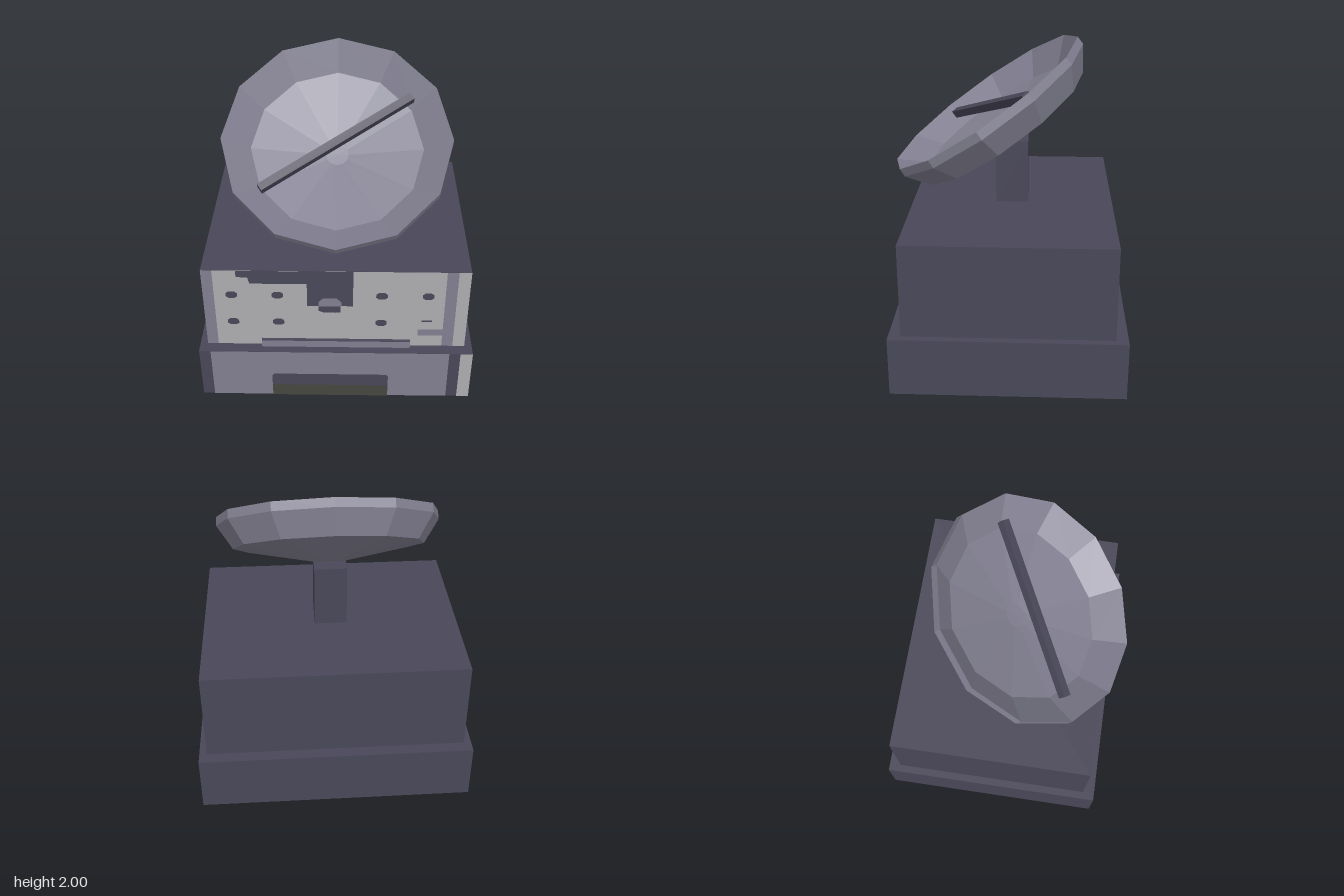
import * as THREE from 'three';

const material = (name, color) => new THREE.MeshStandardMaterial({ name, color, flatShading: true });

export function createModel() {
  const slate = material('slate', 0x494758);
  const lilac = material('lilac grey', 0x817f90);
  const grey = material('pale grey', 0xadacaf);
  const olive = material('dark olive', 0x474641);

  const model = new THREE.Group();
  model.name = 'dishStation';

  function add(name, geometry, mat, parent = model) {
    const mesh = new THREE.Mesh(geometry, mat);
    mesh.name = name;
    parent.add(mesh);
    return mesh;
  }

  // Box given by its limits on each axis
  function box(name, [x0, x1], [y0, y1], [z0, z1], mat) {
    const mesh = add(name, new THREE.BoxGeometry(x1 - x0, y1 - y0, z1 - z0), mat);
    mesh.position.set((x0 + x1) / 2, (y0 + y1) / 2, (z0 + z1) / 2);
    return mesh;
  }

  // Flat painted face on a front wall
  function paint(name, points, z, mat) {
    const shape = new THREE.Shape(points.map(([x, y]) => new THREE.Vector2(x, y)));
    add(name, new THREE.ShapeGeometry(shape), mat).position.z = z;
  }
  const rect = (x0, x1, y0, y1) => [[x0, y0], [x1, y0], [x1, y1], [x0, y1]];
  const chamfered = (x0, x1, y0, y1, cx, cy) => [
    [x0 + cx, y0], [x1 - cx, y0], [x1, y0 + cy], [x1, y1 - cy],
    [x1 - cx, y1], [x0 + cx, y1], [x0, y1 - cy], [x0, y0 + cy],
  ];

  // Stacked housing and post
  const baseFront = 0.692, bodyFront = 0.617;
  box('base', [-0.857, 0.857], [0, 0.37], [-0.73, baseFront], slate);
  box('body', [-0.81, 0.81], [0.37, 0.957], [-0.655, bodyFront], slate);
  box('ledge', [-0.465, 0.465], [0.37, 0.42], [bodyFront, 0.641], slate);
  box('post', [-0.102, 0.102], [0.957, 1.36], [-0.117, 0.085], slate);

  // Base front
  const b = baseFront + 0.002;
  paint('baseFrontPanel', rect(-0.785, 0.71, 0, 0.37), b, lilac);
  paint('baseFrontEdge', rect(0.78, 0.857, 0, 0.37), b, grey);
  paint('ventFrame', [
    [-0.405, 0], [0.333, 0], [0.333, 0.17], [0.32, 0.185], [-0.39, 0.185], [-0.405, 0.17],
  ], b + 0.002, slate);
  paint('ventOpening', rect(-0.405, 0.333, 0, 0.092), b + 0.004, olive);
  paint('ledgeFront', rect(-0.465, 0.465, 0.37, 0.42), 0.643, lilac);

  // Body front
  const f = bodyFront + 0.002;
  paint('bodyLeftStripe', rect(0.665, 0.735, 0.37, 0.957), f, lilac);
  paint('bodyRightStripe', rect(-0.81, -0.742, 0.37, 0.957), f, lilac);
  paint('bodyPanel', rect(-0.742, 0.665, 0.37, 0.957), f, grey);
  paint('bodyLeftEdge', rect(0.735, 0.81, 0.37, 0.957), f, grey);
  paint('cablePatch', [
    [-0.6, 0.957], [-0.6, 0.91], [-0.53, 0.905], [-0.52, 0.86], [-0.175, 0.86],
    [-0.175, 0.69], [-0.105, 0.69], [-0.105, 0.66], [-0.07, 0.64], [0.03, 0.64],
    [0.03, 0.69], [0.105, 0.69], [0.105, 0.957],
  ], f + 0.002, slate);
  paint('socket', chamfered(-0.107, 0.035, 0.66, 0.752, 0.03, 0.03), f + 0.004, lilac);
  paint('socketShade', [
    [-0.07, 0.64], [0.0, 0.64], [0.03, 0.655], [0.03, 0.69], [-0.107, 0.69], [-0.107, 0.655],
  ], f + 0.006, slate);
  paint('latch', rect(0.51, 0.665, 0.458, 0.508), f + 0.002, lilac);

  // Bolt holes, the last one mostly covered
  for (const x of [-0.635, -0.355, 0.28, 0.562]) {
    for (const y of [0.772, 0.558]) {
      const covered = x > 0.5 && y < 0.6;
      const points = covered
        ? rect(x - 0.033, x + 0.033, 0.57, 0.582)
        : chamfered(x - 0.035, x + 0.035, y - 0.025, y + 0.025, 0.017, 0.013);
      paint('boltHole', points, f + 0.002, slate);
    }
  }

  // Tilted dish with its own axis along local y
  const dish = new THREE.Group();
  dish.name = 'dish';
  dish.position.set(0, 1.6, 0.16);
  dish.rotation.x = THREE.MathUtils.degToRad(35);
  model.add(dish);
  const profile = [
    [0, -0.3], [0.09, -0.3], [0.6, -0.204], [0.7, -0.055], [0.697, 0],
    [0.53, -0.14], [0.07, -0.228], [0, -0.23],
  ].map(([r, y]) => new THREE.Vector2(r, y));
  add('dishBowl', new THREE.LatheGeometry(profile, 12), lilac, dish);

  // Diagonal bar across the bowl
  const bar = add('dishBar', new THREE.BoxGeometry(1.096, 0.052, 0.05), slate, dish);
  bar.position.y = -0.046;
  bar.rotation.y = THREE.MathUtils.degToRad(34);

  return model;
}
